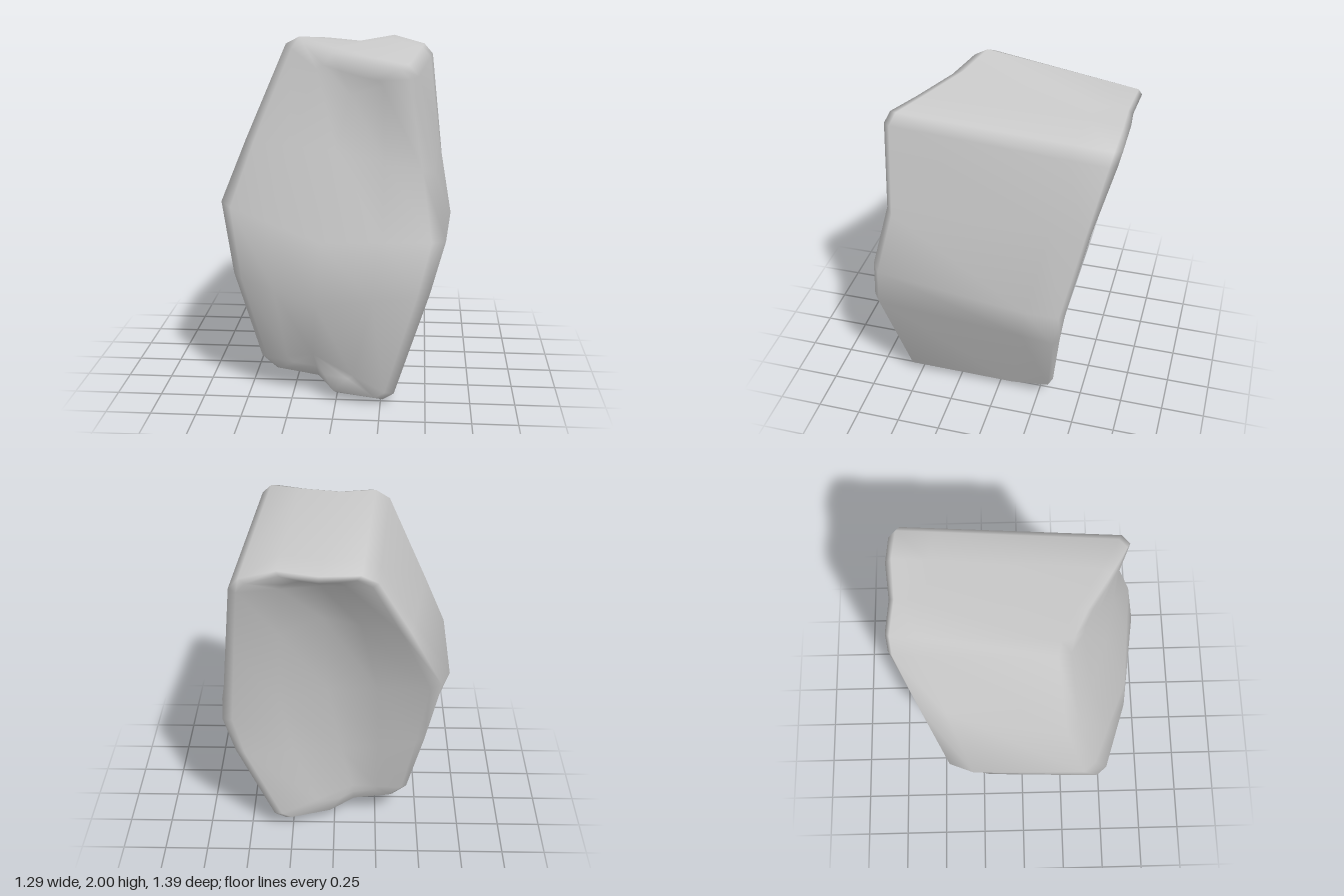
import * as THREE from 'three';
import { mergeVertices } from 'three/addons/utils/BufferGeometryUtils.js';

// Corners, counter-clockwise seen from the front:
// front point, back point, level on the faces' centre lines, corner cut, bulge of the side near the back
const CORNERS = [
  { f: [.42, 1.885, .61], b: [.515, 1.87, -.69], level: 0, cut: .05 }, // top right
  { f: [.20, 1.91, .48], b: [.28, 1.935, -.70], level: 0 }, // top
  { f: [-.04, 1.955, .33], b: [.07, 1.895, -.68], level: 0 }, // top of the groove
  { f: [-.28, 2.02, .22], b: [-.20, 1.915, -.70], level: 0, cut: .06 }, // top left
  { f: [-.53, 1.43, .28], b: [-.40, 1.53, -.57], level: 1 }, // left upper
  { f: [-.655, 1.1, .38], b: [-.59, 1.12, -.44], level: 2, bulge: [-.04, 0, 0] }, // left
  { f: [-.575, .72, .48], b: [-.52, .68, -.33], level: 3 }, // left lower
  { f: [-.42, .12, .36], b: [-.42, .19, -.21], level: 4, cut: .07 }, // bottom left
  { f: [-.1, .1, .43], b: [-.12, .11, -.16], level: 4 }, // bottom notch
  { f: [.0, .035, .52], b: [.04, .05, -.22], level: 4 }, // bottom
  { f: [.31, .02, .59], b: [.34, .08, -.35], level: 4, cut: .05, bulge: [-.04, -.065, .08] }, // bottom right
  { f: [.51, .7, .715], b: [.565, .65, -.43], level: 3 }, // right lower
  { f: [.59, .98, .67], b: [.62, .89, -.47], level: 2, bulge: [.025, 0, 0] }, // right
  { f: [.52, 1.33, .59], b: [.565, 1.4, -.58], level: 1 }, // right upper
];

// Centre line of each face, from top to bottom: the bulge in front and the groove behind
const FRONT_LINE = [[.07, 1.72, .42], [.0, 1.42, .47], [-.08, .95, .61], [-.1, .6, .635], [-.13, .26, .48]];
const BACK_LINE = [[.06, 1.8, -.55], [.06, 1.52, -.38], [.035, 1, -.28], [-.04, .55, -.24], [-.11, .24, -.19]];

const V = (p) => new THREE.Vector3(...p);
const mix = (ringA, ringB, t) => ringA.map((p, i) => p.clone().lerp(ringB[i], t));

// Outline of one face, with the marked corners cut into two points
function outline(side) {
  const n = CORNERS.length;
  return CORNERS.flatMap((c, i) => {
    const p = V(c[side]);
    if (!c.cut) return [p];
    return [CORNERS[(i + n - 1) % n], CORNERS[(i + 1) % n]].map((next) =>
      V(next[side]).sub(p).setLength(c.cut).add(p));
  });
}

function rockGeometry() {
  const perPoint = (fn) => CORNERS.flatMap((c) => (c.cut ? [fn(c), fn(c)] : [fn(c)]));
  const front = outline('f'), back = outline('b');
  const frontLine = perPoint((c) => V(FRONT_LINE[c.level]));
  const backLine = perPoint((c) => V(BACK_LINE[c.level]));
  const bulge = perPoint((c) => V(c.bulge ?? [0, 0, 0]));

  // Rings from the front centre line, round the bevels and sides, to the back groove
  const rings = [
    frontLine,
    mix(front, frontLine, .5),
    mix(front, frontLine, .11),
    mix(front, back, .05),
    mix(front, back, .8).map((p, i) => p.add(bulge[i])),
    mix(front, back, .96),
    mix(back, backLine, .1),
    mix(back, backLine, .55),
    backLine,
  ];
  const n = front.length;
  const index = [];
  for (let k = 0; k < rings.length - 1; k++) {
    for (let i = 0; i < n; i++) {
      const p = k * n + i, q = k * n + (i + 1) % n;
      index.push(p, p + n, q, q, p + n, q + n);
    }
  }
  const g = new THREE.BufferGeometry().setFromPoints(rings.flat());
  g.setIndex(index);
  const merged = mergeVertices(g);
  merged.computeVertexNormals();
  return merged;
}

export function createModel() {
  const group = new THREE.Group();
  group.name = 'rock';
  const boulder = new THREE.Mesh(rockGeometry(), new THREE.MeshStandardMaterial({ color: 0xcccccc }));
  boulder.name = 'boulder';
  group.add(boulder);
  return group;
}
